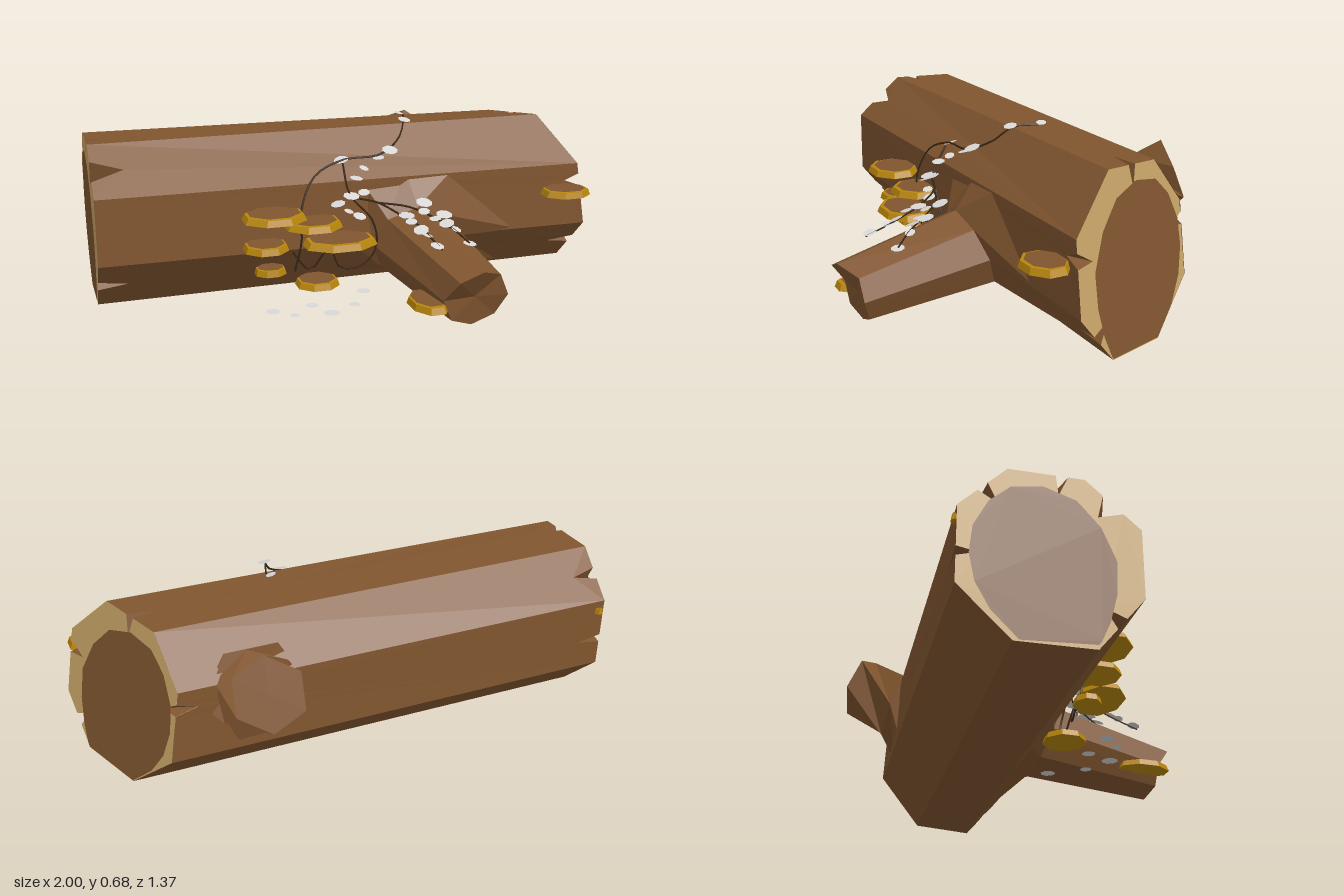
import * as THREE from 'three';

const V = (x, y, z) => new THREE.Vector3(x, y, z);
const mat = (name, color, side = THREE.DoubleSide) => {
  const m = new THREE.MeshStandardMaterial({ color, side });
  m.name = name;
  return m;
};

// Log cross-section corners as [z, y], going from the top over the front
const RIGHT = [[-0.07, 0.65], [0.11, 0.47], [0.11, 0.21], [-0.04, 0.03], [-0.29, 0.016], [-0.47, 0.19], [-0.46, 0.46], [-0.32, 0.63]];
const LEFT = [[-0.07, 0.64], [0.12, 0.475], [0.12, 0.22], [-0.04, 0.02], [-0.31, 0.016], [-0.49, 0.19], [-0.49, 0.47], [-0.33, 0.635]];
const HEART = [[-0.21, 0.585], [-0.1, 0.55], [-0.02, 0.46], [0.03, 0.34], [0.025, 0.22], [0, 0.12], [-0.03, 0.05], [-0.04, 0.035],
  [-0.29, 0.02], [-0.38, 0.11], [-0.43, 0.2], [-0.45, 0.3], [-0.44, 0.4], [-0.39, 0.5], [-0.32, 0.565]];
// Splits in the ends: [facet, position along it, half width, depth along the log]
const SPLITS_R = [[7, 0.5, 0.07, 0.11], [1, 0.27, 0.1, 0.07], [2, 0.5, 0.1, 0.11], [5, 0.75, 0.08, 0.08]];
const SPLITS_L = [[0, 0.5, 0.18, 0.12], [2, 0.5, 0.1, 0.11], [6, 0.5, 0.1, 0.1], [7, 0.7, 0.08, 0.09], [5, 0.4, 0.06, 0.1]];
const endX = (z, y) => 0.99 + 0.42 * z - 0.17 * y; // slanted cut
const mix = (a, b, t) => [a[0] + (b[0] - a[0]) * t, a[1] + (b[1] - a[1]) * t];

function triangles(points) {
  const g = new THREE.BufferGeometry().setFromPoints(points);
  g.computeVertexNormals();
  return g;
}

// Flat polygon, each vertex moved by map(u, v)
function mappedShape(pts, map) {
  const g = new THREE.ShapeGeometry(new THREE.Shape(pts.map(p => new THREE.Vector2(p[0], p[1])))).toNonIndexed();
  const pos = g.attributes.position;
  for (let i = 0; i < pos.count; i++) pos.setXYZ(i, ...map(pos.getX(i), pos.getY(i)));
  g.computeVertexNormals();
  return g;
}

// Faceted skin over rings of equal length, closed at the last ring
function loft(rings, inset = 0) {
  const out = [], n = rings[0].length;
  for (let r = 0; r < rings.length - 1; r++) {
    for (let i = 0; i < n; i++) {
      const a = rings[r], b = rings[r + 1], j = (i + 1) % n;
      out.push(a[i], a[j], b[j], a[i], b[j], b[i]);
    }
  }
  const tip = rings[rings.length - 1];
  const mid = tip.reduce((s, p) => s.add(p), V(0, 0, 0)).divideScalar(n);
  mid.z -= inset;
  tip.forEach((p, i) => out.push(mid, p, tip[(i + 1) % n]));
  return triangles(out);
}

function ring(c, r, axis, n) {
  const q = new THREE.Quaternion().setFromUnitVectors(V(0, 0, 1), axis.clone().normalize());
  return Array.from({ length: n }, (_, i) => {
    const t = i / n * Math.PI * 2;
    return V(Math.cos(t) * r, Math.sin(t) * r, 0).applyQuaternion(q).add(c);
  });
}

export function createModel() {
  const model = new THREE.Group();
  model.name = 'fallenLog';
  const bark = mat('bark brown', 0x80552f);
  const rim = mat('pale sapwood', 0xc8a468);
  const gold = mat('fungus ochre', 0xb8860b);
  const leafMat = mat('pale leaf', 0xd8d8d8);
  const vineMat = mat('vine dark brown', 0x3a2818);
  const add = (name, geo, m, parent = model) => {
    const mesh = new THREE.Mesh(geo, m);
    mesh.name = name;
    parent.add(mesh);
    return mesh;
  };

  // Bark facets, with the splits cut into both ends
  const log = new THREE.Group();
  log.name = 'trunk';
  model.add(log);
  for (let f = 0; f < 8; f++) {
    const g = (f + 1) % 8;
    const xR = t => endX(...mix(RIGHT[f], RIGHT[g], t));
    const pts = [[-1, 0]];
    SPLITS_L.filter(s => s[0] === f).forEach(([, t, w, d]) => pts.push([-1, w - t], [-1 + d, -t], [-1, -t - w]));
    pts.push([-1, -1], [xR(1), -1]);
    SPLITS_R.filter(s => s[0] === f).forEach(([, t, w, d]) => pts.push([xR(t + w), -t - w], [xR(t) - d, -t], [xR(t - w), w - t]));
    pts.push([xR(0), 0]);
    add('barkFacet', mappedShape(pts, (x, v) => {
      const s = (x + 1) / 1.9;
      const [z, y] = mix(mix(LEFT[f], LEFT[g], -v), mix(RIGHT[f], RIGHT[g], -v), Math.min(1, s));
      return [x, y, z];
    }), bark, log);
  }

  // Cut ends: sapwood with split outline, heartwood plate, split walls
  for (const [side, corners, splits] of [[1, RIGHT, SPLITS_R], [-1, LEFT, SPLITS_L]]) {
    const faceX = (z, y) => side > 0 ? endX(z, y) : -1;
    const at = p => V(faceX(p[0], p[1]), p[1], p[0]);
    const outline = [], walls = [];
    corners.forEach((a, f) => {
      const b = corners[(f + 1) % 8];
      outline.push(a);
      splits.filter(s => s[0] === f).forEach(([, t, w, d]) => {
        const p = mix(a, b, t - w), m = mix(a, b, t), q = mix(a, b, t + w);
        const inner = mix(m, [-0.2, 0.32], 0.24);
        const deep = at(m);
        deep.x -= side * d;
        outline.push(p, inner, q);
        walls.push(at(p), at(inner), deep, deep, at(inner), at(q));
      });
    });
    const flat = (pts, lift) => mappedShape(pts.map(p => [-side * p[0], p[1]]),
      (u, y) => [faceX(-side * u, y) + side * lift, y, -side * u]);
    add('sapwoodEnd', flat(outline, 0), rim, log);
    add('heartwoodEnd', flat(HEART, 0.003), bark, log);
    add('endSplits', triangles(walls), bark, log);
  }

  // Front branch with a wide root flare
  const flare = [V(0.7, 0.21, 0.105), V(0.39, 0.475, 0.105), V(0.2, 0.49, 0.09), V(0.02, 0.46, 0.1),
    V(-0.03, 0.22, 0.1), V(0, 0.1, 0.01), V(0.2, 0.03, -0.05), V(0.7, 0.03, -0.045)];
  const tip = ring(V(0.28, 0.137, 0.63), 0.124, V(0.08, -0.4, 1), 8);
  tip[1].z -= 0.03;
  tip[4].z -= 0.03;
  add('frontBranch', loft([flare, ring(V(0.22, 0.21, 0.125), 0.165, V(0, -0.4, 1), 8), tip], 0.02), bark);

  // Short stub at the back
  add('backStub', loft([
    ring(V(0.44, 0.38, -0.44), 0.2, V(0, 0.1, -1), 6),
    ring(V(0.445, 0.41, -0.48), 0.155, V(0.1, 0.3, -1), 6),
    ring(V(0.45, 0.48, -0.62), 0.135, V(0.4, 0.38, -0.85), 6)]), bark);

  // Shelf fungi: [x, y, z, half width, half depth]
  const shelves = [[-0.36, 0.383, 0.21, 0.12, 0.095], [-0.12, 0.28, 0.26, 0.14, 0.095], [-0.2, 0.332, 0.17, 0.11, 0.1],
    [-0.385, 0.256, 0.17, 0.085, 0.08], [0.87, 0.373, 0.175, 0.1, 0.078], [0.13, 0.107, 0.53, 0.07, 0.105],
    [-0.165, 0.07, 0.1, 0.085, 0.08], [-0.36, 0.146, 0.13, 0.06, 0.05], [-0.98, 0.43, -0.475, 0.02, 0.03]];
  const cap = new THREE.CylinderGeometry(0.95, 1.05, 0.024, 8).toNonIndexed();
  cap.computeVertexNormals();
  const capTop = new THREE.CircleGeometry(0.86, 8).rotateX(-Math.PI / 2).rotateY(Math.PI / 8);
  shelves.forEach(([x, y, z, w, d]) => {
    const g = new THREE.Group();
    g.name = 'shelfFungus';
    g.position.set(x, y, z);
    g.scale.set(w, 1, d);
    g.rotation.x = 0.02;
    add('fungusBody', cap, gold, g).rotation.y = Math.PI / 8;
    add('fungusTop', capTop, bark, g).position.set(0, 0.014, -0.06);
    model.add(g);
  });

  // Thin vines
  [
    [[-0.26, 0.13, 0.12], [-0.24, 0.26, 0.15], [-0.24, 0.38, 0.15], [-0.18, 0.5, 0.12], [-0.06, 0.55, 0.09], [0.1, 0.56, 0.08], [0.2, 0.61, 0.02], [0.24, 0.665, -0.04], [0.27, 0.67, -0.13]],
    [[-0.27, 0.21, 0.13], [-0.2, 0.13, 0.12], [-0.13, 0.22, 0.15], [-0.08, 0.13, 0.13], [0, 0.13, 0.14], [0.06, 0.2, 0.15], [0.04, 0.32, 0.17], [-0.05, 0.43, 0.16], [-0.06, 0.54, 0.1]],
    [[-0.04, 0.42, 0.17], [0.05, 0.4, 0.2], [0.11, 0.37, 0.28], [0.15, 0.35, 0.36], [0.17, 0.32, 0.46], [0.18, 0.3, 0.53]],
    [[0.05, 0.4, 0.2], [0.16, 0.385, 0.24], [0.23, 0.36, 0.32], [0.28, 0.33, 0.4], [0.32, 0.29, 0.46]],
  ].forEach(p => add('vine', new THREE.TubeGeometry(
    new THREE.CatmullRomCurve3(p.map(q => V(...q))), 28, 0.004, 4), vineMat));

  // Leaves on the vines and fallen on the ground: [x, y, z]
  const leaves = [[0.26, 0.675, -0.15], [0.24, 0.67, -0.03], [0.14, 0.575, 0.08], [0.09, 0.55, 0.09], [-0.06, 0.55, 0.08],
    [0.02, 0.52, 0.12], [-0.02, 0.49, 0.15], [-0.05, 0.43, 0.18], [0, 0.44, 0.18], [-0.1, 0.4, 0.17], [-0.06, 0.37, 0.18],
    [-0.02, 0.35, 0.19], [0.13, 0.37, 0.3], [0.13, 0.36, 0.35], [0.15, 0.34, 0.4], [0.16, 0.33, 0.44], [0.17, 0.31, 0.51],
    [0.22, 0.4, 0.25], [0.23, 0.36, 0.34], [0.26, 0.35, 0.38], [0.29, 0.33, 0.4], [0.32, 0.29, 0.46], [0.27, 0.37, 0.33],
    [0.2, 0.38, 0.3], [-0.37, 0.005, 0.2], [-0.3, 0.005, 0.26], [-0.21, 0.005, 0.18], [-0.16, 0.005, 0.28], [-0.05, 0.005, 0.22], [0.03, 0.005, 0.09]];
  leaves.forEach(([x, y, z], i) => {
    const r = 0.02 + 0.012 * ((i * 7) % 5) / 4;
    const leaf = add('leaf', new THREE.CircleGeometry(r, 8).rotateX(-Math.PI / 2), leafMat);
    leaf.position.set(x, y, z);
    if (y > 0.01) leaf.rotation.set(0.15 + 0.1 * (i % 3), 0, 0.12 * ((i % 5) - 2));
  });
  return model;
}
